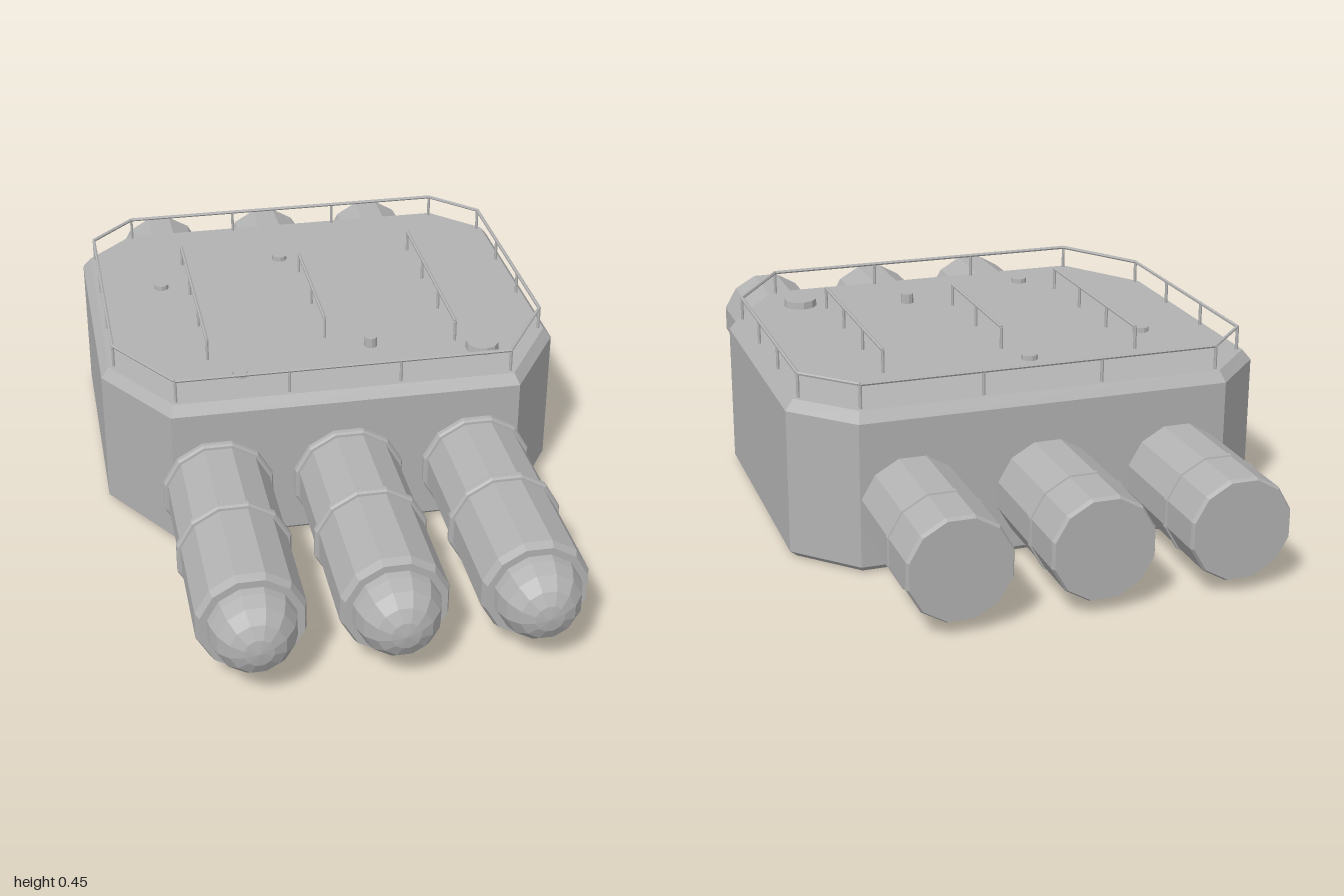
import * as THREE from 'three';

const steel = new THREE.MeshStandardMaterial({ color: 0xb2b2b2, flatShading: true });
steel.name = 'grey steel';

// Chamfered deck outline, moved inwards by i; counter-clockwise from above
function outline(i) {
  const right = [
    [0.43 - 0.52 * i, 0.345 - i],
    [0.577 - i, 0.12 - 0.31 * i],
    [0.577 - i, -0.515 + 0.41 * i],
    [0.444 - 0.41 * i, -0.65 + i],
  ];
  return [...right, ...right.slice().reverse().map(([x, z]) => [-x, z])];
}

// Closed solid through outlines given as [height, inset]
function loft(levels) {
  const pos = [], index = [];
  for (const [y, inset] of levels) for (const [x, z] of outline(inset)) pos.push(x, y, z);
  const n = 8, last = (levels.length - 1) * n;
  for (let l = 0; l < last; l += n) {
    for (let i = 0; i < n; i++) {
      const j = (i + 1) % n;
      index.push(l + i, l + j, l + n + j, l + i, l + n + j, l + n + i);
    }
  }
  for (let i = 1; i < n - 1; i++) {
    index.push(last, last + i, last + i + 1, 0, i + 1, i);
  }
  const geo = new THREE.BufferGeometry();
  geo.setAttribute('position', new THREE.Float32BufferAttribute(pos, 3));
  geo.setIndex(index);
  geo.computeVertexNormals();
  return geo;
}

function add(parent, name, geo, x = 0, y = 0, z = 0) {
  const mesh = new THREE.Mesh(geo, steel);
  mesh.name = name;
  mesh.position.set(x, y, z);
  parent.add(mesh);
  return mesh;
}

// Round bar between two points
function bar(parent, name, a, b, r = 0.0045) {
  const dir = b.clone().sub(a);
  const mesh = add(parent, name, new THREE.CylinderGeometry(r, r, dir.length(), 6));
  mesh.position.copy(a).lerp(b, 0.5);
  mesh.quaternion.setFromUnitVectors(new THREE.Vector3(0, 1, 0), dir.normalize());
}

const DECK = 0.385;

// Straight rail with evenly spaced posts
function rail(parent, [x0, z0], [x1, z1], top, spans, firstPost = 0) {
  const a = new THREE.Vector3(x0, top, z0), b = new THREE.Vector3(x1, top, z1);
  bar(parent, 'handrail', a, b);
  for (let i = firstPost; i <= spans; i++) {
    const p = a.clone().lerp(b, i / spans);
    bar(parent, 'railPost', new THREE.Vector3(p.x, DECK - 0.005, p.z), p, 0.004);
  }
}

// Twelve-sided turned part along z; profile is [radius, z] with z rising
function turned(profile) {
  const pts = profile.map(([r, z]) => new THREE.Vector2(r, z));
  return new THREE.LatheGeometry(pts, 12, Math.PI / 12).rotateX(Math.PI / 2);
}

export function createModel() {
  const model = new THREE.Group();
  model.name = 'tankModule';

  // Main hull with bevelled top and bottom edges
  add(model, 'hull', loft([[0, 0.018], [0.016, 0], [0.36, 0], [DECK, 0.02]]));

  // Three tubes running through the hull
  const frontTube = turned([
    [0, 0.25], [0.128, 0.25], [0.128, 0.875], [0.12, 0.895], [0.1, 0.895],
  ]);
  const dome = turned([
    [0.104, 0.885], [0.1, 0.915], [0.088, 0.95], [0.064, 0.98], [0.034, 0.995], [0, 1],
  ]);
  const collar = turned([
    [0.125, -0.013], [0.134, -0.012], [0.138, -0.006], [0.138, 0.006], [0.134, 0.012], [0.125, 0.013],
  ]);
  const rearTube = turned([
    [0, -1], [0.118, -1], [0.123, -0.99], [0.123, -0.6], [0, -0.6],
  ]);
  const rearBand = turned([[0.12, -0.007], [0.127, -0.005], [0.127, 0.005], [0.12, 0.007]]);
  for (const x of [-0.322, 0, 0.322]) {
    const tube = new THREE.Group();
    tube.name = 'tube';
    tube.position.set(x, 0.15, 0);
    add(tube, 'frontTube', frontTube);
    add(tube, 'frontDome', dome);
    add(tube, 'middleCollar', collar, 0, 0, 0.615);
    add(tube, 'rootCollar', collar, 0, 0, 0.353);
    add(tube, 'rearTube', rearTube);
    add(tube, 'rearBand', rearBand, 0, 0, -0.862);
    model.add(tube);
  }

  // Railing round the deck edge
  const railing = new THREE.Group();
  railing.name = 'deckRailing';
  const corners = outline(0.033);
  const spans = [1, 3, 1, 3, 1, 3, 1, 3];
  corners.forEach((c, i) => rail(railing, c, corners[(i + 1) % 8], 0.442, spans[i], 1));
  model.add(railing);

  // Inner handrails along the deck
  const inner = new THREE.Group();
  inner.name = 'innerRails';
  for (const [x, z0, z1, n] of [[-0.312, -0.42, 0.12, 3], [-0.004, -0.32, 0.06, 2], [0.317, -0.4, 0.135, 3]]) {
    rail(inner, [x, z0], [x, z1], 0.44, n);
  }
  model.add(inner);

  // Hatch and small caps on the deck: x, z, radius, height
  const caps = [
    ['hatch', 0.375, 0.185, 0.044, 0.018],
    ['deckCap', -0.383, -0.294, 0.021, 0.012],
    ['deckCap', -0.043, -0.411, 0.021, 0.012],
    ['deckCap', -0.243, 0.211, 0.021, 0.012],
    ['deckVent', 0.102, 0.122, 0.017, 0.025],
  ];
  for (const [name, x, z, r, h] of caps) {
    add(model, name, new THREE.CylinderGeometry(r * 0.92, r, h + 0.01, 10), x, DECK + h / 2 - 0.005, z);
  }
  return model;
}
